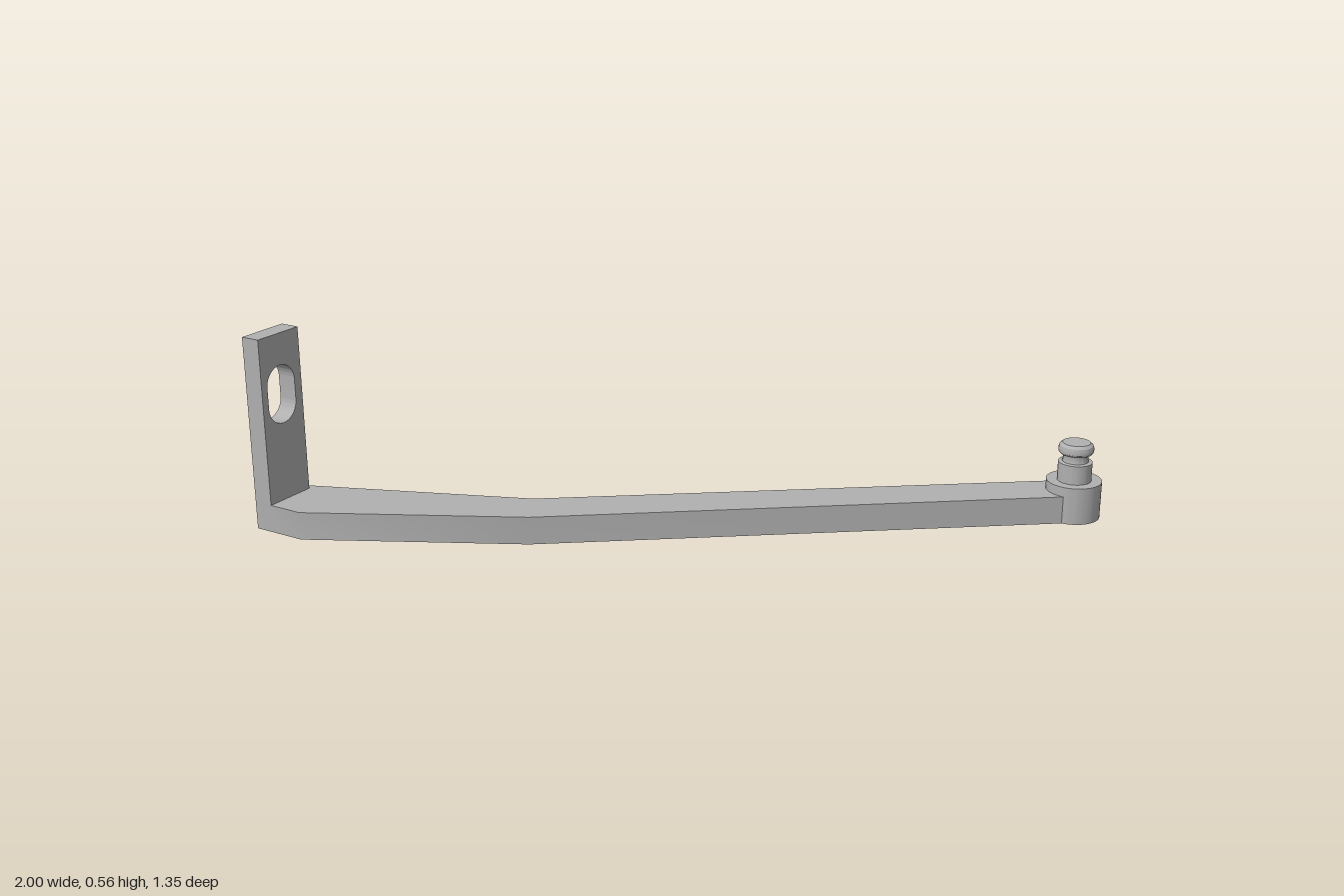
import * as THREE from 'three';
import { toCreasedNormals } from 'three/addons/utils/BufferGeometryUtils.js';

const THICK = 0.08; // bar thickness
const PIN = { x: 0.92, z: -0.597, r: 0.078 };

export function createModel() {
  const model = new THREE.Group();
  model.name = 'bracketArm';
  const steel = new THREE.MeshStandardMaterial({ color: 0xb0b0b0 });
  steel.name = 'grey steel';

  const add = (name, geometry) => {
    const mesh = new THREE.Mesh(toCreasedNormals(geometry, 0.5), steel);
    mesh.name = name;
    model.add(mesh);
    return mesh;
  };

  // Bent flat bar: plan outline as [x, z], extruded upwards
  const outline = [
    [-1, 0.67], [-0.84, 0.67], [-0.28, 0.375], [0.96, -0.55],
    [0.88, -0.652], [-0.35, 0.255], [-1, 0.515],
  ];
  const plan = new THREE.Shape(outline.map(([x, z]) => new THREE.Vector2(x, -z)));
  const bar = new THREE.ExtrudeGeometry(plan, { depth: THICK, bevelEnabled: false });
  bar.rotateX(-Math.PI / 2);
  add('bentBar', bar);

  // Upright tab with an obround slot, drawn in (-z, y) and extruded along x
  const tab = new THREE.Shape([
    new THREE.Vector2(-0.67, THICK), new THREE.Vector2(-0.515, THICK),
    new THREE.Vector2(-0.515, 0.557), new THREE.Vector2(-0.67, 0.557),
  ]);
  const slot = new THREE.Path();
  const slotX = -0.595, slotR = 0.053;
  slot.absarc(slotX, 0.414, slotR, 0, Math.PI, false);
  slot.absarc(slotX, 0.354, slotR, Math.PI, Math.PI * 2, false);
  slot.closePath();
  tab.holes.push(slot);
  const tabGeometry = new THREE.ExtrudeGeometry(tab, { depth: 0.057, bevelEnabled: false, curveSegments: 24 });
  tabGeometry.rotateY(Math.PI / 2);
  tabGeometry.translate(-1, 0, 0);
  add('slottedTab', tabGeometry);

  // Round boss at the far end of the bar
  const boss = new THREE.CylinderGeometry(PIN.r, PIN.r, 0.108, 48);
  add('boss', boss).position.set(PIN.x, 0.054, PIN.z);

  // Stud with a waisted neck and a rounded head
  const profile = [
    [0.048, 0.1], [0.048, 0.163], [0.037, 0.165], [0.035, 0.175], [0.037, 0.187],
    [0.044, 0.188], [0.049, 0.194], [0.05, 0.203], [0.047, 0.213], [0.039, 0.22], [0, 0.22],
  ];
  const stud = new THREE.LatheGeometry(profile.map(([r, y]) => new THREE.Vector2(r, y)), 48);
  add('stud', stud).position.set(PIN.x, 0, PIN.z);

  return model;
}
